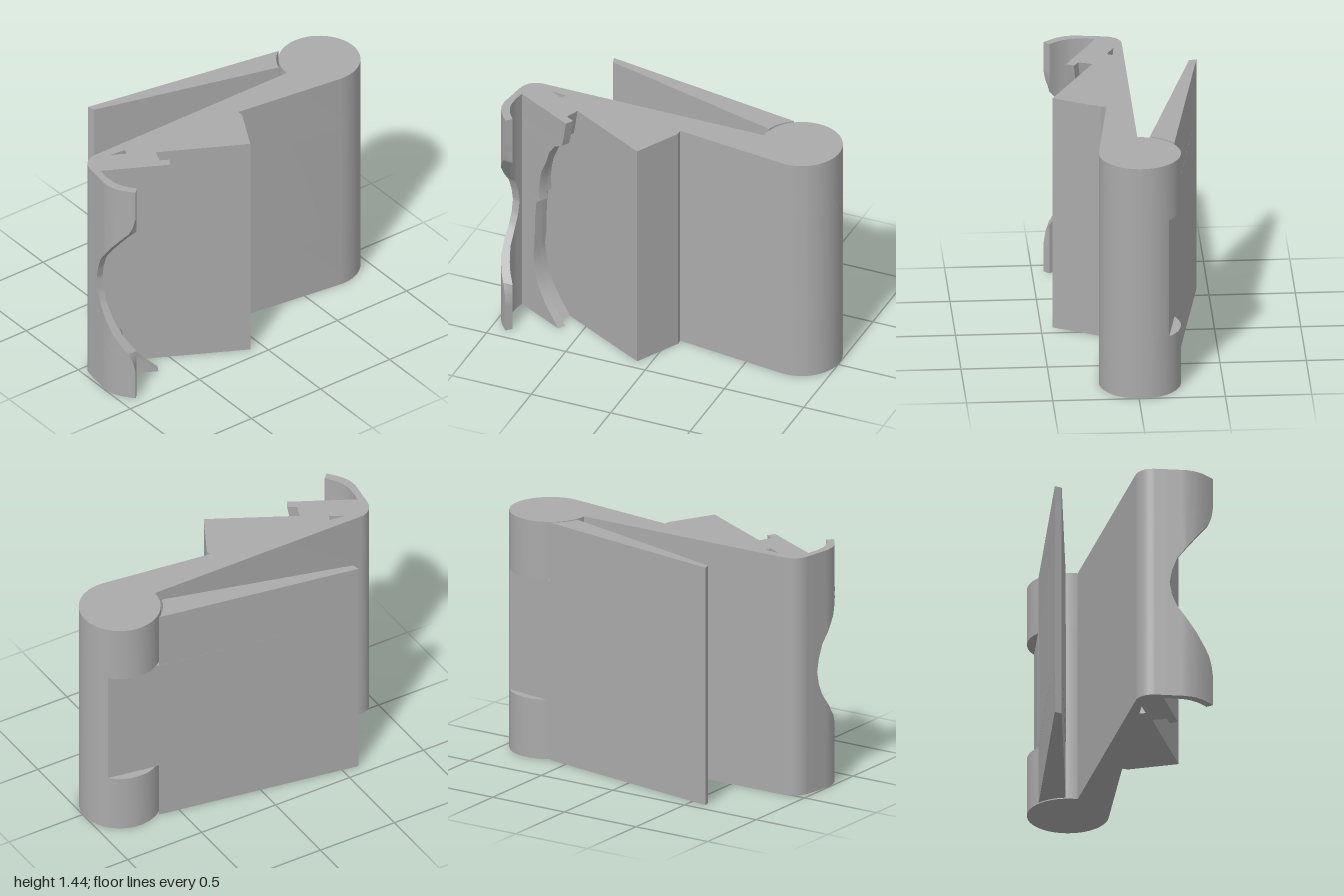
import * as THREE from 'three';
import { toCreasedNormals } from 'three/addons/utils/BufferGeometryUtils.js';

const H = 1.44, SLOT_LOW = 0.36, SLOT_HIGH = 1.09;
const CX = -0.02, CZ = -0.762, R = 0.237;

// Linear interpolation in a short list of [key, value] pairs
function lerpTable(table, k) {
  for (let i = 1; i < table.length; i++) {
    const [k0, v0] = table[i - 1], [k1, v1] = table[i];
    if (k <= k1) return v0 + (v1 - v0) * (k - k0) / (k1 - k0);
  }
  return table[table.length - 1][1];
}

// Extrude a plan shape (x, z) from y0 up to y1
function extrudeUp(shape, y0, y1) {
  const g = new THREE.ExtrudeGeometry(shape, { depth: y1 - y0, bevelEnabled: false, curveSegments: 40 });
  g.rotateX(Math.PI / 2).translate(0, y1, 0);
  return toCreasedNormals(g, 0.5);
}

// Solid through plan sections [[x, z], ...] stacked at the given heights
function loft(heights, sectionAt) {
  const rings = heights.map((y) => {
    const pts = sectionAt(y).map(([x, z]) => new THREE.Vector2(x, z));
    return THREE.ShapeUtils.area(pts) < 0 ? pts.reverse() : pts;
  });
  const pos = [];
  const put = (i, j) => pos.push(rings[i][j].x, heights[i], rings[i][j].y);
  const n = rings[0].length, last = rings.length - 1;
  for (let i = 0; i < last; i++) {
    for (let j = 0; j < n; j++) {
      const k = (j + 1) % n;
      put(i, j); put(i + 1, k); put(i, k);
      put(i, j); put(i + 1, j); put(i + 1, k);
    }
  }
  for (const [a, b, c] of THREE.ShapeUtils.triangulateShape(rings[0], [])) {
    put(0, a); put(0, b); put(0, c);
  }
  for (const [a, b, c] of THREE.ShapeUtils.triangulateShape(rings[last], [])) {
    put(last, a); put(last, c); put(last, b);
  }
  const g = new THREE.BufferGeometry();
  g.setAttribute('position', new THREE.Float32BufferAttribute(pos, 3));
  return toCreasedNormals(g, 0.5);
}

// Plan of the barrel, arm and ramp; the middle has a flat on the barrel for the leaf
function bodyShape(flat) {
  const s = new THREE.Shape();
  s.moveTo(-0.012, -0.526);
  if (flat) {
    s.absarc(CX, CZ, R, Math.PI / 2, Math.PI - 0.508, false);
    s.absarc(CX, CZ, R, Math.PI + 0.84, Math.PI * 2 + 0.124, false);
  } else {
    s.absarc(CX, CZ, R, Math.PI / 2, Math.PI * 2 + 0.124, false);
  }
  s.lineTo(0.13, -0.06);
  s.lineTo(0.165, -0.062);
  s.lineTo(0.432, 0.08);
  s.lineTo(0.024, 0.845);
  s.lineTo(0.13, 0.94);
  s.lineTo(0.13, 0.98);
  s.lineTo(0.08, 0.972);
  s.bezierCurveTo(0.02, 0.965, -0.018, 0.92, -0.018, 0.865);
  const hole = new THREE.Path();
  hole.moveTo(0.046, 0.695);
  hole.lineTo(0.08, 0.712);
  hole.lineTo(0.035, 0.795);
  s.holes.push(hole);
  return s;
}

// Plan of the swinging leaf; the middle reaches into the barrel
function leafShape(tab) {
  const s = new THREE.Shape();
  s.moveTo(-0.39, 0.59);
  s.lineTo(-0.434, 0.602);
  if (tab) {
    s.lineTo(-0.225, -0.646);
    s.lineTo(-0.065, -0.62);
  } else {
    s.absarc(CX, CZ, 0.25, 2.554, 1.866, true);
  }
  return s;
}

// Height -> z of the tip of the wavy toothed wedge
const WAVE = [
  [0, 0.64], [0.06, 0.7], [0.12, 0.755], [0.21, 0.81], [0.31, 0.835], [0.39, 0.845],
  [0.47, 0.835], [0.66, 0.83], [0.765, 0.82], [0.79, 0.79], [0.87, 0.8], [0.995, 0.78],
  [1.085, 0.74], [1.165, 0.715], [1.23, 0.67], [1.27, 0.61], [1.315, 0.6], [H, 0.578],
];
function wedgeSection(y) {
  const t = lerpTable(WAVE, y) - 0.58;
  const slide = ([x, z]) => [x - 0.53 * t, z + t];
  return [
    ...[[0.17, 0.57], [0.25, 0.602], [0.278, 0.552], [0.322, 0.578]].map(slide),
    [0.13, 0.94], [0.024, 0.845],
  ];
}

// Curved lip: inner and outer faces (x -> z), and the scooped edge (height -> x)
const INNER = [[0.12, 0.935], [0.2, 0.948], [0.27, 0.948], [0.32, 0.932], [0.36, 0.91], [0.4, 0.878]];
const OUTER = [[0.12, 0.978], [0.25, 0.996], [0.31, 0.99], [0.36, 0.967], [0.4, 0.938], [0.432, 0.91]];
const SCOOP = [
  [0, 0.432], [0.18, 0.432], [0.25, 0.42], [0.3, 0.4], [0.57, 0.2], [0.64, 0.17], [0.72, 0.155],
  [0.8, 0.17], [0.88, 0.2], [1.14, 0.4], [1.19, 0.42], [1.26, 0.432], [H, 0.432],
];
function lipSection(y) {
  const edge = lerpTable(SCOOP, y), n = 12;
  const face = (table, max) => Array.from({ length: n + 1 }, (_, i) => {
    const x = 0.12 + (Math.min(edge, max) - 0.12) * i / n;
    return [x, lerpTable(table, x)];
  });
  return [...face(INNER, 0.4), ...face(OUTER, 0.432).reverse()];
}

export function createModel() {
  const model = new THREE.Group();
  model.name = 'hingedClip';
  const grey = new THREE.MeshStandardMaterial({ color: 0xaaaaaa });
  grey.name = 'grey';
  const add = (name, geometry) => {
    const mesh = new THREE.Mesh(geometry, grey);
    mesh.name = name;
    model.add(mesh);
  };

  // Body and leaf, each in three storeys around the hinge slot
  const storeys = [
    ['lower', 0, SLOT_LOW, false],
    ['middle', SLOT_LOW, SLOT_HIGH, true],
    ['upper', SLOT_HIGH, H, false],
  ];
  for (const [label, y0, y1, middle] of storeys) {
    add(label + 'Body', extrudeUp(bodyShape(middle), y0, y1));
    add(label + 'Leaf', extrudeUp(leafShape(middle), y0, y1));
  }

  // Wavy wedge and scooped lip
  add('wavyWedge', loft(WAVE.map(([y]) => y), wedgeSection));
  const levels = Array.from({ length: 73 }, (_, i) => H * i / 72);
  add('scoopedLip', loft(levels, lipSection));
  return model;
}
